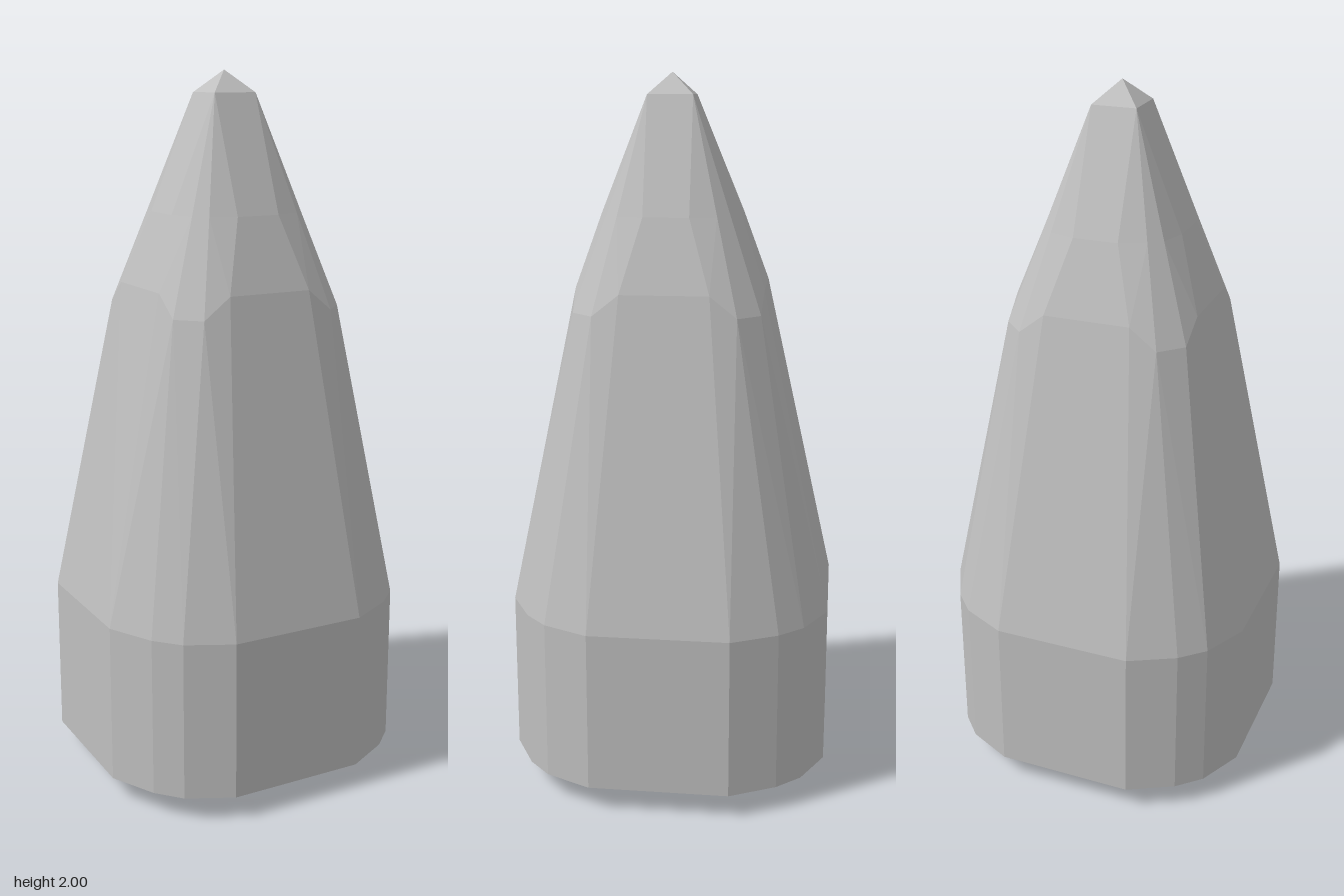
import * as THREE from 'three';

// A ring repeats four points [x, z, dy] by quarter turns around y
function ring(y, quarter, zShift = 0) {
  const points = [];
  for (let turn = 0; turn < 4; turn++) {
    for (let [x, z, dy = 0] of quarter) {
      for (let k = 0; k < turn; k++) [x, z] = [-z, x];
      points.push(new THREE.Vector3(x, y + dy, z + zShift));
    }
  }
  return points;
}

// Faceted skin between successive rings, listed from bottom to top
function loft(name, rings, material) {
  const positions = [];
  const face = (a, b, c) => {
    const area = b.clone().sub(a).cross(c.clone().sub(a)).length();
    if (area > 1e-7) for (const p of [a, b, c]) positions.push(p.x, p.y, p.z);
  };
  for (let r = 0; r < rings.length - 1; r++) {
    const lo = rings[r], hi = rings[r + 1];
    for (let i = 0; i < lo.length; i++) {
      const j = (i + 1) % lo.length;
      if (i % 4 === 3) {
        face(lo[i], hi[i], lo[j]);
        face(hi[i], hi[j], lo[j]);
      } else {
        face(lo[i], hi[i], hi[j]);
        face(lo[i], hi[j], lo[j]);
      }
    }
  }
  const geometry = new THREE.BufferGeometry();
  geometry.setAttribute('position', new THREE.Float32BufferAttribute(positions, 3));
  geometry.computeVertexNormals();
  const mesh = new THREE.Mesh(geometry, material);
  mesh.name = name;
  return mesh;
}

export function createModel() {
  const grey = new THREE.MeshStandardMaterial({ color: 0xbfbfbf });
  grey.name = 'light grey';
  grey.flatShading = true;

  const point = Array(4).fill([0, 0]);
  const outline = [[-0.19, -0.453], [0.2, -0.448], [0.327, -0.385], [0.388, -0.318]];
  const foot = ring(0, [[-0.13, -0.318], [0.13, -0.318], [0.2, -0.24], [0.24, -0.2]]);
  const bodyBottom = ring(0.068, outline);
  const bodyTop = ring(0.52, outline);
  // The shoulder dips at the four corners
  const shoulder = ring(1.42,
    [[-0.122, -0.262], [0.122, -0.262], [0.197, -0.257, -0.06], [0.258, -0.196, -0.06]], 0.008);
  const neck = ring(1.62, [[-0.063, -0.194], [0.063, -0.194], [0.136, -0.17], [0.17, -0.136]], 0.01);
  const corner = [0.063, -0.063];
  const tipBase = ring(1.94, [[-0.063, -0.063], corner, corner, corner], 0.013);

  const group = new THREE.Group();
  group.name = 'pointedBlock';
  group.add(
    loft('bevelledBase', [ring(0, point), foot, bodyBottom], grey),
    loft('body', [bodyBottom, bodyTop], grey),
    loft('taper', [bodyTop, shoulder, neck, tipBase], grey),
    loft('tip', [tipBase, ring(2, point, 0.013)], grey)
  );
  return group;
}
